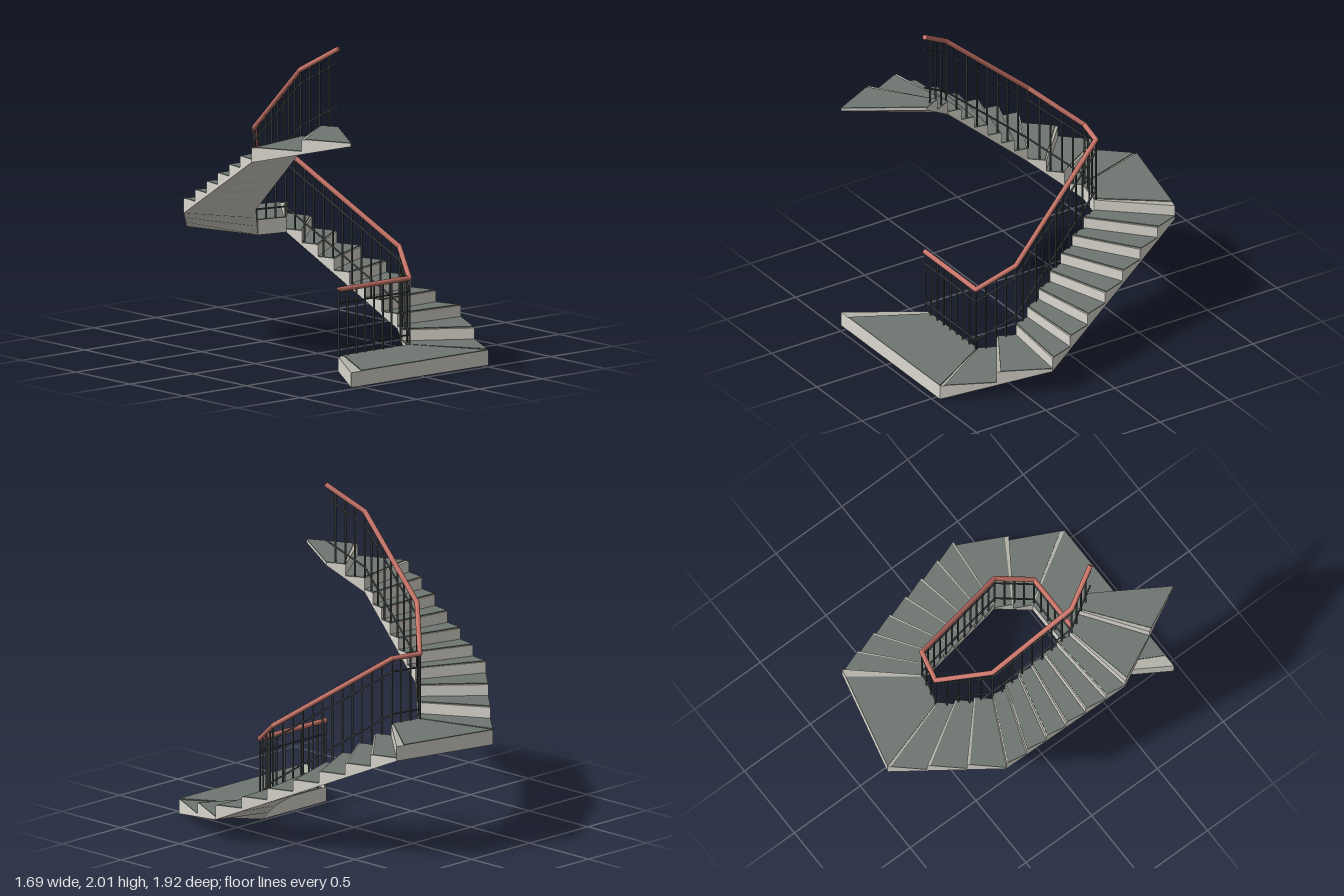
import * as THREE from 'three';

const RISE = 0.0743;       // height of one riser
const SLAB = 0.091;        // concrete depth at the riser edge
const TREAD = 0.006;       // thickness of the tread covering
const INSET = 0.077;       // bare strip at the start of each tread
const RAIL_Y = 0.507;      // handrail height above the underside line
const RAIL_R = 0.0155;     // handrail radius

// Plan corners (x, z) along the climb: outer edge and railing line
const outer = [[-0.56, 0.96], [0.535, 0.96], [0.843, 0.348], [0.445, -0.8],
  [-0.222, -0.96], [-0.706, -0.424], [-0.848, 0.37], [-0.56, 0.96]];
const railLine = [[-0.29, 0.53], [0.275, 0.53], [0.382, 0.312], [0.12, -0.44],
  [-0.075, -0.484], [-0.309, -0.23], [-0.4, 0.303], [-0.29, 0.53]];
const inner = railLine.map(([x, z]) => [x * 0.975, z * 0.975]);

// Treads on each side of the plan; a landing stays level
const runs = [
  { treads: 1, landing: true, posts: 8 },
  { treads: 2, posts: 4 },
  { treads: 7, posts: 12 },
  { treads: 1, landing: true, posts: 3 },
  { treads: 3, posts: 5 },
  { treads: 6, posts: 8 },
  { treads: 2, posts: 4 },
];

const mix = (a, b, t) => [a[0] + (b[0] - a[0]) * t, a[1] + (b[1] - a[1]) * t];

// Four-cornered prism with a level top (group 0) and sloping underside and sides (group 1)
function prism(plan, bottoms, top) {
  const lo = plan.map(([x, z], i) => [x, bottoms[i], z]);
  const hi = plan.map(([x, z]) => [x, top, z]);
  const pos = [];
  const quad = (a, b, c, d) => pos.push(...a, ...b, ...c, ...a, ...c, ...d);
  quad(...hi);
  quad(lo[3], lo[2], lo[1], lo[0]);
  for (let i = 0; i < 4; i++) {
    const j = (i + 1) % 4;
    quad(lo[i], lo[j], hi[j], hi[i]);
  }
  const g = new THREE.BufferGeometry();
  g.setAttribute('position', new THREE.Float32BufferAttribute(pos, 3));
  g.computeVertexNormals();
  g.addGroup(0, 6, 0);
  g.addGroup(6, 30, 1);
  return g;
}

function material(name, color) {
  const m = new THREE.MeshStandardMaterial({ color });
  m.name = name;
  return m;
}

export function createModel() {
  const concrete = material('pale concrete', 0xdcd9d0);
  const bareTop = material('grey step top', 0xb5b4aa);
  const covering = material('tread covering', 0x6f7670);
  const iron = material('dark iron', 0x454a4a);
  const wood = material('red wood', 0xc67468);

  const model = new THREE.Group();
  model.name = 'windingStaircase';
  const steps = new THREE.Group();
  steps.name = 'steps';
  const railing = new THREE.Group();
  railing.name = 'railing';
  model.add(steps, railing);

  const add = (group, name, geometry, mat) => {
    const mesh = new THREE.Mesh(geometry, mat);
    mesh.name = name;
    group.add(mesh);
    return mesh;
  };

  // Round bar between two points
  const up = new THREE.Vector3(0, 1, 0);
  const bar = (name, a, b, radius, sides, mat) => {
    const dir = b.clone().sub(a);
    const mesh = add(railing, name, new THREE.CylinderGeometry(radius, radius, dir.length(), sides), mat);
    mesh.position.copy(a).add(b).multiplyScalar(0.5);
    mesh.quaternion.setFromUnitVectors(up, dir.normalize());
  };

  let level = 0;
  runs.forEach(({ treads, landing, posts }, e) => {
    const startLevel = level;
    const y0 = startLevel * RISE;
    const y1 = landing ? y0 : y0 + treads * RISE;

    // Concrete steps and their coverings
    const strip = (t0, t1) => [mix(outer[e], outer[e + 1], t0), mix(outer[e], outer[e + 1], t1),
      mix(inner[e], inner[e + 1], t1), mix(inner[e], inner[e + 1], t0)];
    for (let i = 0; i < treads; i++) {
      const t0 = i / treads, t1 = (i + 1) / treads;
      const low = (startLevel + i) * RISE;
      const end = landing ? low : low + RISE;
      const top = low + SLAB;
      add(steps, landing ? 'landing' : 'step',
        prism(strip(t0, t1), [low, end, end, low], top), [bareTop, concrete]);
      const plan = strip(t0 + INSET / treads, t1);
      add(steps, 'treadCovering',
        prism(plan, [top, top, top, top], top + TREAD), [covering, covering]);
    }

    // Handrail and the two thin rails below it
    const at = (t, y) => {
      const [x, z] = mix(railLine[e], railLine[e + 1], t);
      return new THREE.Vector3(x, y0 + (y1 - y0) * t + y, z);
    };
    bar('handrail', at(0, RAIL_Y), at(1, RAIL_Y), RAIL_R, 16, wood);
    if (e > 0) {
      add(railing, 'handrailJoint', new THREE.SphereGeometry(RAIL_R, 16, 10), wood).position.copy(at(0, RAIL_Y));
    }
    for (const y of [0.157, 0.423]) bar('thinRail', at(0, y), at(1, y), 0.0055, 8, iron);

    // Balusters standing on the treads
    for (let i = 0; i < posts; i++) {
      const t = i / posts;
      const head = at(t, RAIL_Y);
      const foot = head.clone();
      foot.y = (startLevel + Math.floor(t * treads + 1e-6)) * RISE + SLAB;
      bar('baluster', foot, head, 0.006, 8, iron);
    }

    if (!landing) level += treads;
  });

  return model;
}
